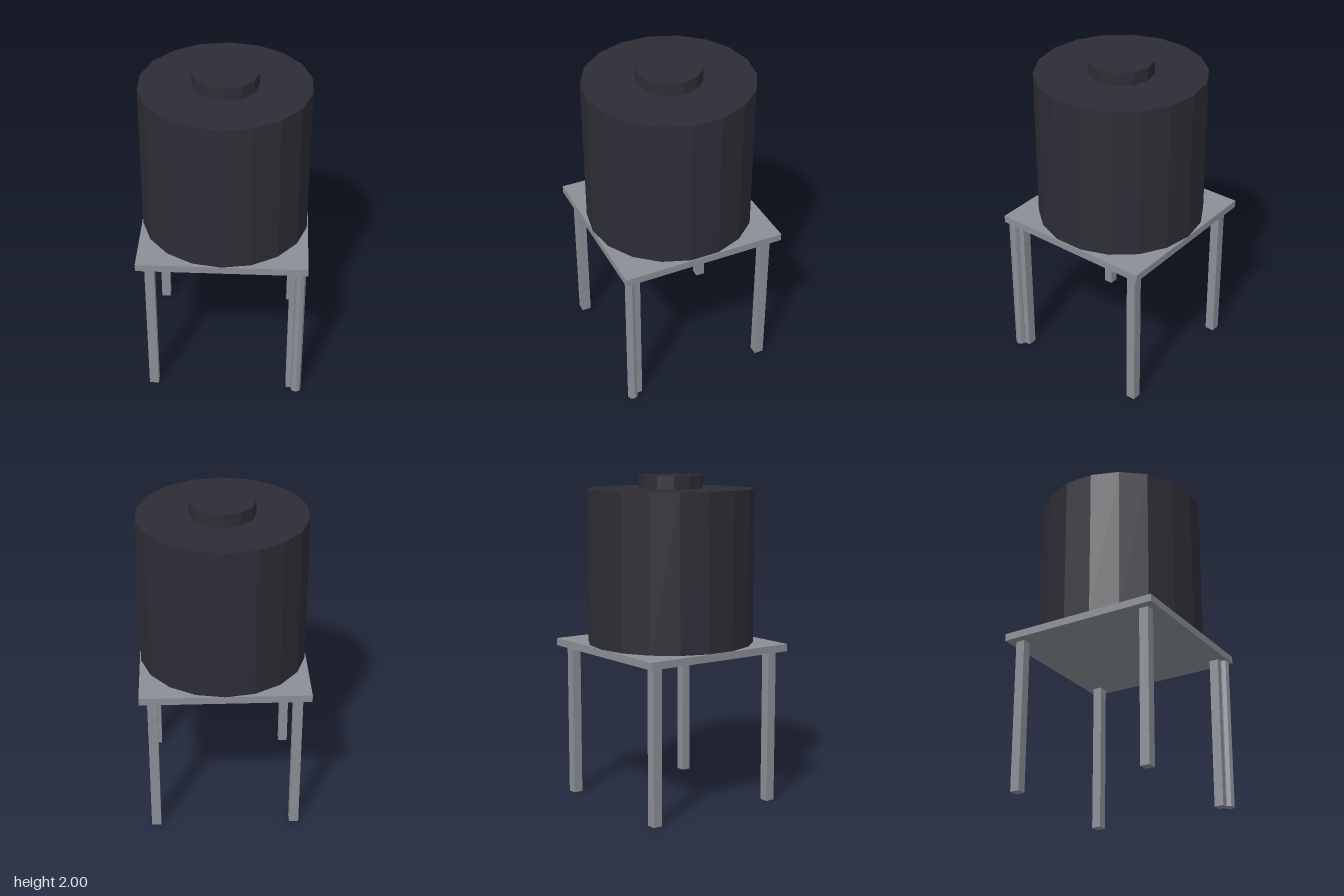
import * as THREE from 'three';

export function createModel() {
  const group = new THREE.Group();

  const tankMaterial = new THREE.MeshStandardMaterial({ color: 0x2e2d36 });
  tankMaterial.name = 'darkTank';
  tankMaterial.flatShading = true;
  const steelMaterial = new THREE.MeshStandardMaterial({ color: 0x8a8f96 });
  steelMaterial.name = 'greySteel';
  steelMaterial.flatShading = true;

  // Places a part by its lower and upper heights
  function add(name, geometry, material, x, bottom, top, z) {
    const mesh = new THREE.Mesh(geometry, material);
    mesh.name = name;
    mesh.position.set(x, (bottom + top) / 2, z);
    group.add(mesh);
  }
  const box = (w, bottom, top) => new THREE.BoxGeometry(w, top - bottom, w);
  const drum = (r, bottom, top, sides) =>
    new THREE.CylinderGeometry(r, r, top - bottom, sides);

  // Tank with its lid
  add('tank', drum(0.507, 0.985, 1.92, 18), tankMaterial, 0, 0.985, 1.92, 0);
  add('lid', drum(0.195, 1.92, 2, 12), tankMaterial, 0, 1.92, 2, 0);

  // Square platform
  add('platform', box(1.014, 0.94, 0.985), steelMaterial, 0, 0.94, 0.985, 0);

  // Four legs
  for (const [side, x] of [['left', 0.43], ['right', -0.43]]) {
    for (const [end, z] of [['Front', 0.43], ['Back', -0.43]]) {
      add(side + end + 'Leg', box(0.058, 0, 0.94), steelMaterial, x, 0, 0.94, z);
    }
  }

  // Drain pipe beside the front left leg
  add('drainPipe', drum(0.032, 0, 0.94, 8), steelMaterial, 0.465, 0, 0.94, 0.468);

  return group;
}
